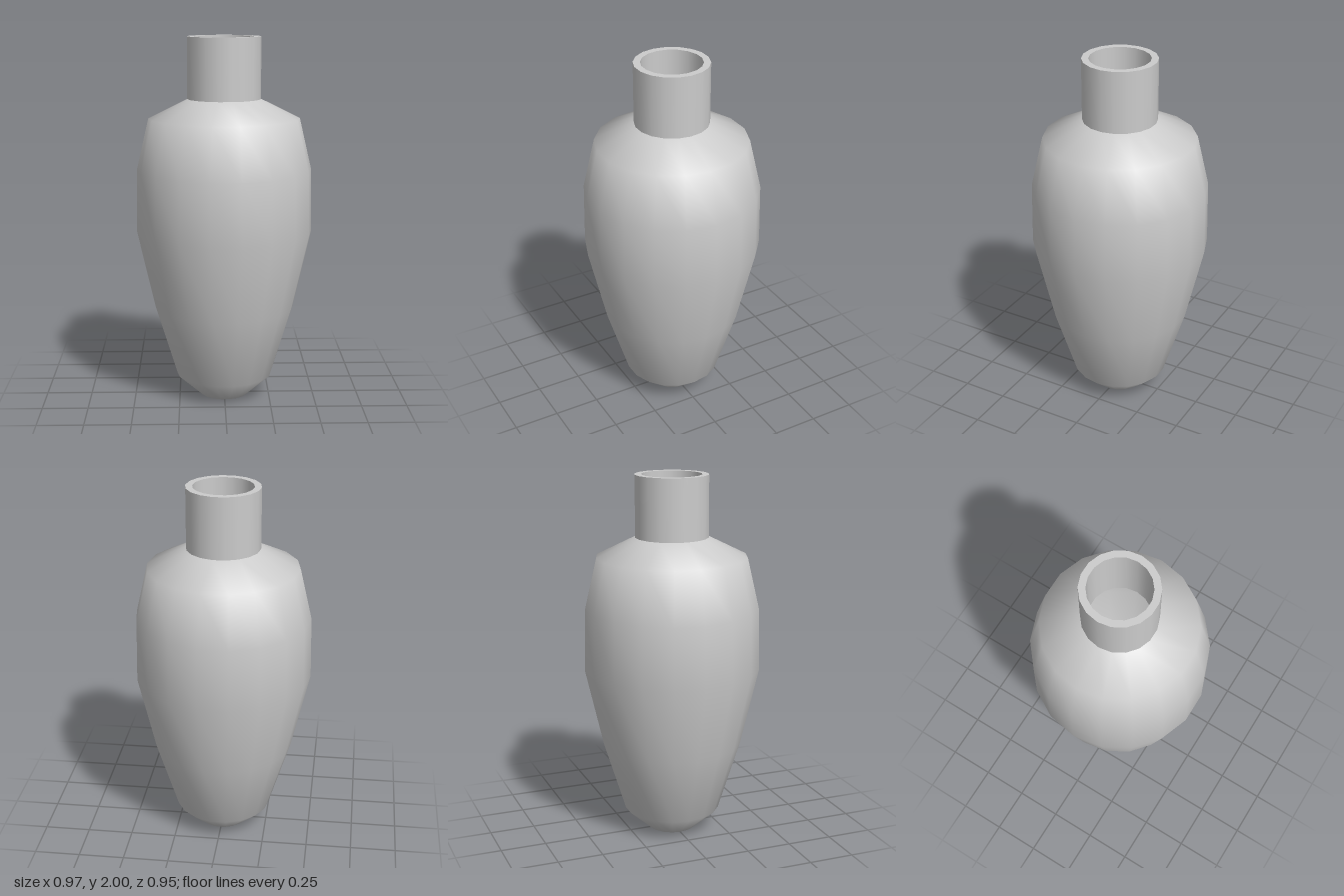
import * as THREE from 'three';

const SIDES = 18;

export function createModel() {
  const vase = new THREE.Group();
  vase.name = 'vase';
  const material = new THREE.MeshStandardMaterial({ color: 0xcccccc });

  // Each part is its own lathe, so shading is smooth within it and sharp at its borders.
  // Profiles run up the outside, across the rim and down the inside.
  function turn(name, profile) {
    const points = profile.map(([r, y]) => new THREE.Vector2(r, y));
    const mesh = new THREE.Mesh(new THREE.LatheGeometry(points, SIDES, Math.PI / 2), material);
    mesh.name = name;
    vase.add(mesh);
  }

  // Outer body from foot to shoulder
  turn('body', [
    [0, 0], [0.13, 0], [0.265, 0.12], [0.385, 0.51], [0.483, 0.94],
    [0.477, 1.28], [0.412, 1.56], [0.2, 1.665],
  ]);

  // Neck and rim
  turn('neck', [[0.2, 1.665], [0.2, 2]]);
  turn('rim', [[0.2, 2], [0.163, 2]]);

  // Hollow inside, one wall thickness in
  turn('neckInside', [[0.163, 2], [0.163, 1.64]]);
  turn('bodyInside', [
    [0.163, 1.64], [0.38, 1.535], [0.441, 1.27], [0.446, 0.94],
    [0.35, 0.52], [0.235, 0.14], [0.115, 0.037], [0, 0.037],
  ]);

  return vase;
}
